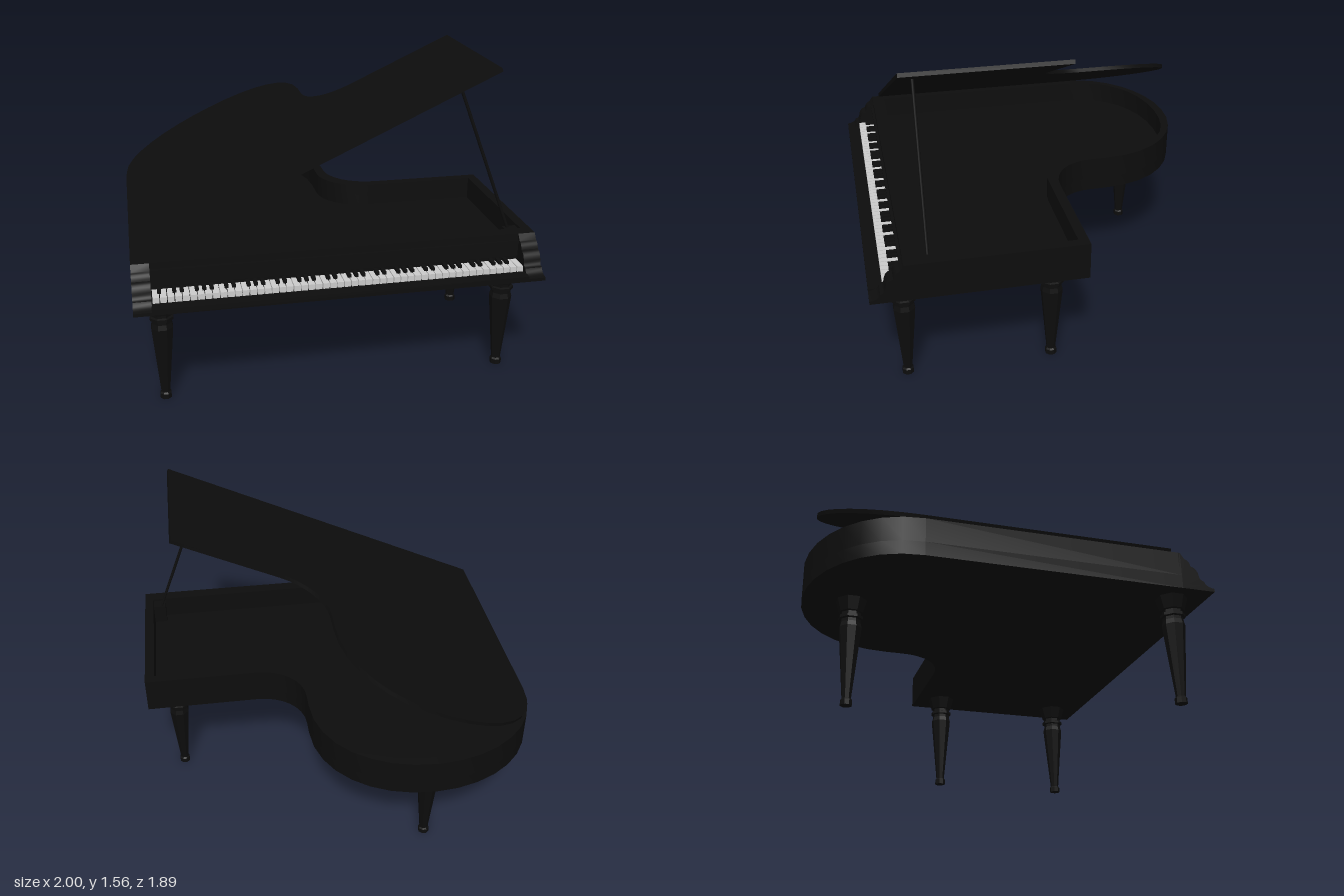
import * as THREE from 'three';
import { mergeGeometries, toCreasedNormals } from 'three/addons/utils/BufferGeometryUtils.js';

const black = new THREE.MeshStandardMaterial({ color: 0x0d0d0d });
const facetedBlack = new THREE.MeshStandardMaterial({ color: 0x0d0d0d, flatShading: true });
const ivory = new THREE.MeshStandardMaterial({ color: 0xcccccc });

// Curved body outline in x and z; t is the inset of the curved side
function outline(left, right, front, t) {
  const s = new THREE.Shape();
  const back = -0.95 + t, waist = 0.15 - t, tail = -0.1 + t;
  s.moveTo(left, front);
  s.lineTo(left, -0.47);
  s.bezierCurveTo(left, -0.75, -0.73, back, -0.42, back);
  s.bezierCurveTo(-0.1, back, waist, -0.74, waist, -0.42);
  s.lineTo(waist, -0.34 + t);
  s.bezierCurveTo(waist, -0.2 + t, 0.26 - t, tail, 0.4 - t, tail);
  s.lineTo(right, tail);
  s.lineTo(right, front);
  s.closePath();
  return s;
}

// Horizontal slab whose top lies at the given height
function slab(shape, depth, top) {
  const g = new THREE.ExtrudeGeometry(shape, { depth, bevelEnabled: false, curveSegments: 8 });
  g.rotateX(Math.PI / 2);
  g.translate(0, top, 0);
  return toCreasedNormals(g, 0.5);
}

// Box given by its limits on each axis
function boxGeo(x0, x1, y0, y1, z0, z1) {
  const g = new THREE.BoxGeometry(x1 - x0, y1 - y0, z1 - z0);
  g.translate((x0 + x1) / 2, (y0 + y1) / 2, (z0 + z1) / 2);
  return g;
}

export function createModel() {
  const model = new THREE.Group();
  model.name = 'grandPiano';
  const add = (name, geometry, material = black, parent = model) => {
    const m = new THREE.Mesh(geometry, material);
    m.name = name;
    parent.add(m);
    return m;
  };

  // Case: open rim over a solid bottom
  const rim = outline(-1, 1, 0.78, 0);
  rim.holes.push(outline(-0.95, 0.95, 0.71, 0.05));
  add('rim', slab(rim, 0.12, 0.722));
  add('caseBottom', slab(outline(-1, 1, 0.78, 0), 0.068, 0.602));

  // Keyboard surround
  add('keybed', boxGeo(-1, 1, 0.534, 0.56, 0.78, 0.9));
  add('keySlip', boxGeo(-0.915, 0.915, 0.534, 0.562, 0.89, 0.945));
  add('fallboard', boxGeo(-0.915, 0.915, 0.605, 0.69, 0.775, 0.788));
  add('fallboardMoulding', boxGeo(-0.915, 0.915, 0.675, 0.69, 0.775, 0.795));

  // Scrolled arms at both ends of the keyboard
  const arm = new THREE.Shape();
  arm.moveTo(0.77, 0.534);
  arm.lineTo(0.945, 0.534);
  arm.lineTo(0.945, 0.55);
  arm.quadraticCurveTo(0.9, 0.555, 0.893, 0.582);
  arm.quadraticCurveTo(0.87, 0.585, 0.868, 0.615);
  arm.quadraticCurveTo(0.86, 0.65, 0.83, 0.655);
  arm.quadraticCurveTo(0.825, 0.685, 0.8, 0.692);
  arm.lineTo(0.78, 0.722);
  arm.lineTo(0.77, 0.722);
  const armGeo = new THREE.ExtrudeGeometry(arm, { depth: 0.087, bevelEnabled: false, curveSegments: 5 });
  armGeo.rotateY(-Math.PI / 2);
  const armSmooth = toCreasedNormals(armGeo, 0.6);
  add('leftArm', armSmooth).position.x = 1;
  add('rightArm', armSmooth).position.x = -0.913;

  // 52 white keys with the black keys in their repeating pattern
  const whites = [], blacks = [], pitch = 1.82 / 52;
  for (let i = 0; i < 52; i++) {
    const x = -0.91 + i * pitch;
    whites.push(boxGeo(x + 0.002, x + pitch - 0.002, 0.558, 0.588, 0.785, 0.877));
    if (i < 51 && ![2, 6].includes((i + 5) % 7)) {
      blacks.push(boxGeo(x + pitch - 0.009, x + pitch + 0.009, 0.57, 0.602, 0.785, 0.838));
    }
  }
  add('whiteKeys', mergeGeometries(whites), ivory);
  add('blackKeys', mergeGeometries(blacks));

  // Turned eight-sided legs
  const legProfile = [
    [0, 0], [0.027, 0], [0.027, 0.026], [0.021, 0.034], [0.052, 0.39], [0.046, 0.415], [0.046, 0.43],
    [0.056, 0.434], [0.056, 0.448], [0.046, 0.452], [0.046, 0.466], [0.054, 0.47], [0.072, 0.535], [0, 0.535],
  ].map(([r, y]) => new THREE.Vector2(r / Math.cos(Math.PI / 8), y));
  const legGeo = new THREE.LatheGeometry(legProfile, 8, Math.PI / 8);
  const legs = { frontRightLeg: [-0.87, 0.78], frontLeftLeg: [0.84, 0.78], middleLeg: [0.84, 0.05], tailLeg: [-0.44, -0.71] };
  for (const [name, [x, z]] of Object.entries(legs)) add(name, legGeo, facetedBlack).position.set(x, 0, z);

  // Raised lid, hinged along the long straight side
  const lidGeo = slab(outline(-1, 0.957, 0.74, 0.04), 0.02, 0);
  lidGeo.translate(1, 0, 0);
  const lid = add('lid', lidGeo);
  lid.position.set(-0.995, 0.742, 0);
  lid.rotation.z = 0.434;

  // Prop stick holding up the lid
  const foot = new THREE.Vector3(0.905, 0.7, 0.66), head = new THREE.Vector3(0.61, 1.465, 0.66);
  const prop = add('propStick', new THREE.CylinderGeometry(0.008, 0.008, foot.distanceTo(head), 10));
  prop.position.copy(foot).add(head).multiplyScalar(0.5);
  prop.quaternion.setFromUnitVectors(new THREE.Vector3(0, 1, 0), head.clone().sub(foot).normalize());
  add('propBlock', boxGeo(0.88, 0.95, 0.6, 0.71, 0.645, 0.71));

  return model;
}
